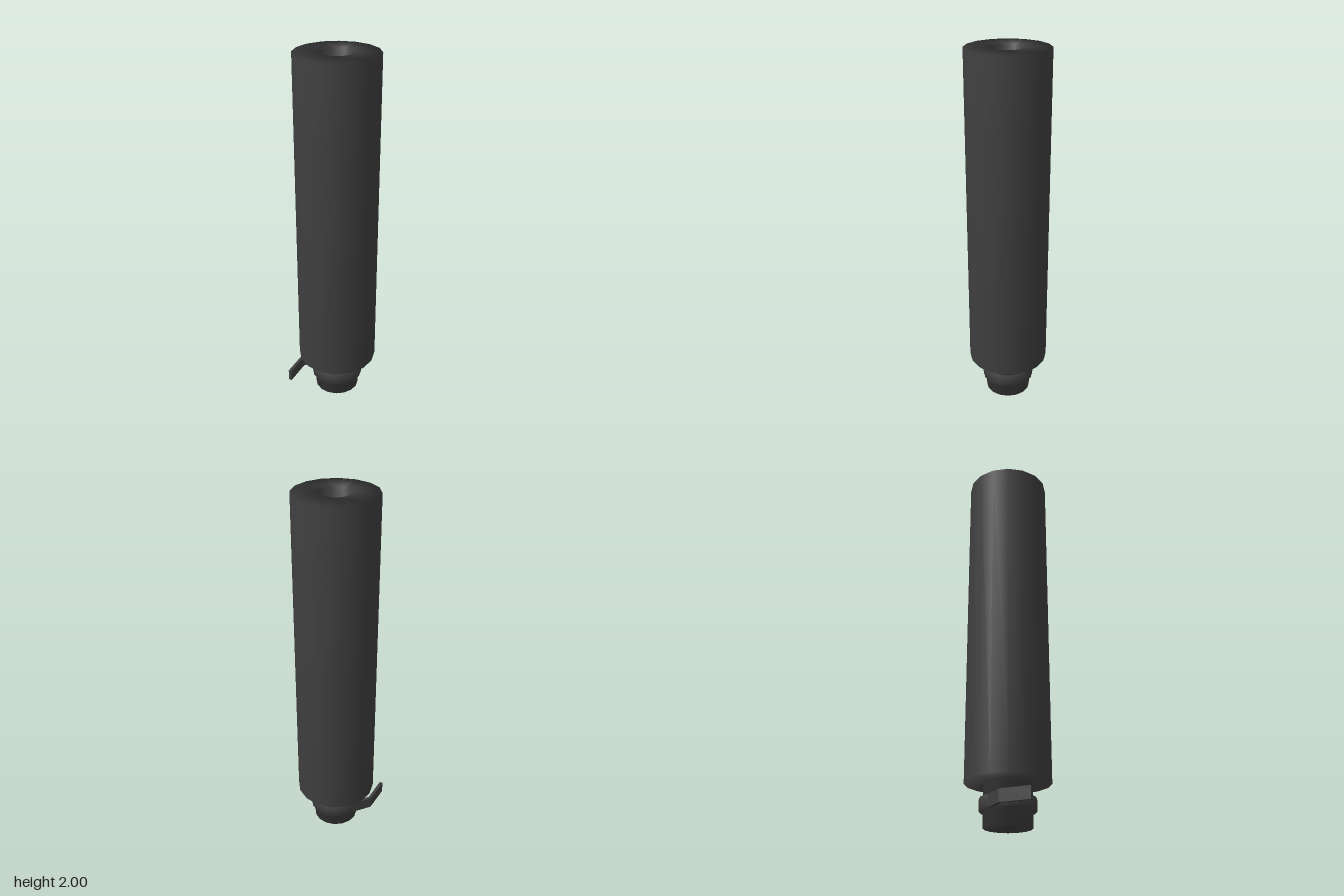
import * as THREE from 'three';

const SIDES = 16;

// Revolved part with soft normals, from [radius, height] pairs
function turned(name, profile, material) {
  const points = profile.map(([r, y]) => new THREE.Vector2(r, y));
  const mesh = new THREE.Mesh(new THREE.LatheGeometry(points, SIDES), material);
  mesh.name = name;
  return mesh;
}

export function createModel() {
  const group = new THREE.Group();
  group.name = 'tube';
  const darkMetal = new THREE.MeshStandardMaterial({ color: 0x3f3f3f });
  darkMetal.name = 'darkMetal';

  // Neck, long barrel and recessed bore in one profile
  group.add(turned('body', [
    [0, 0], [0.125, 0], [0.125, 0.22], [0.222, 0.22],
    [0.222, 2], [0.082, 2], [0.082, 1.7], [0, 1.7],
  ], darkMetal));

  // Clamp ring around the neck
  group.add(turned('clampRing', [
    [0.12, 0.08], [0.145, 0.08], [0.145, 0.145], [0.12, 0.145],
  ], darkMetal));

  // Bent lever leaving the ring at a tangent, then running forward
  const outline = [
    [-0.085, -0.105], [-0.14, -0.045], [-0.214, 0.042], [-0.218, 0.205],
    [-0.2, 0.205], [-0.197, 0.05], [-0.115, -0.035],
  ].map(([x, z]) => new THREE.Vector2(x, z));
  const leverGeometry = new THREE.ExtrudeGeometry(new THREE.Shape(outline), {
    depth: 0.065, bevelEnabled: false,
  });
  leverGeometry.rotateX(Math.PI / 2);
  leverGeometry.translate(0, 0.145, 0);
  const lever = new THREE.Mesh(leverGeometry, darkMetal);
  lever.name = 'lever';
  group.add(lever);

  return group;
}
